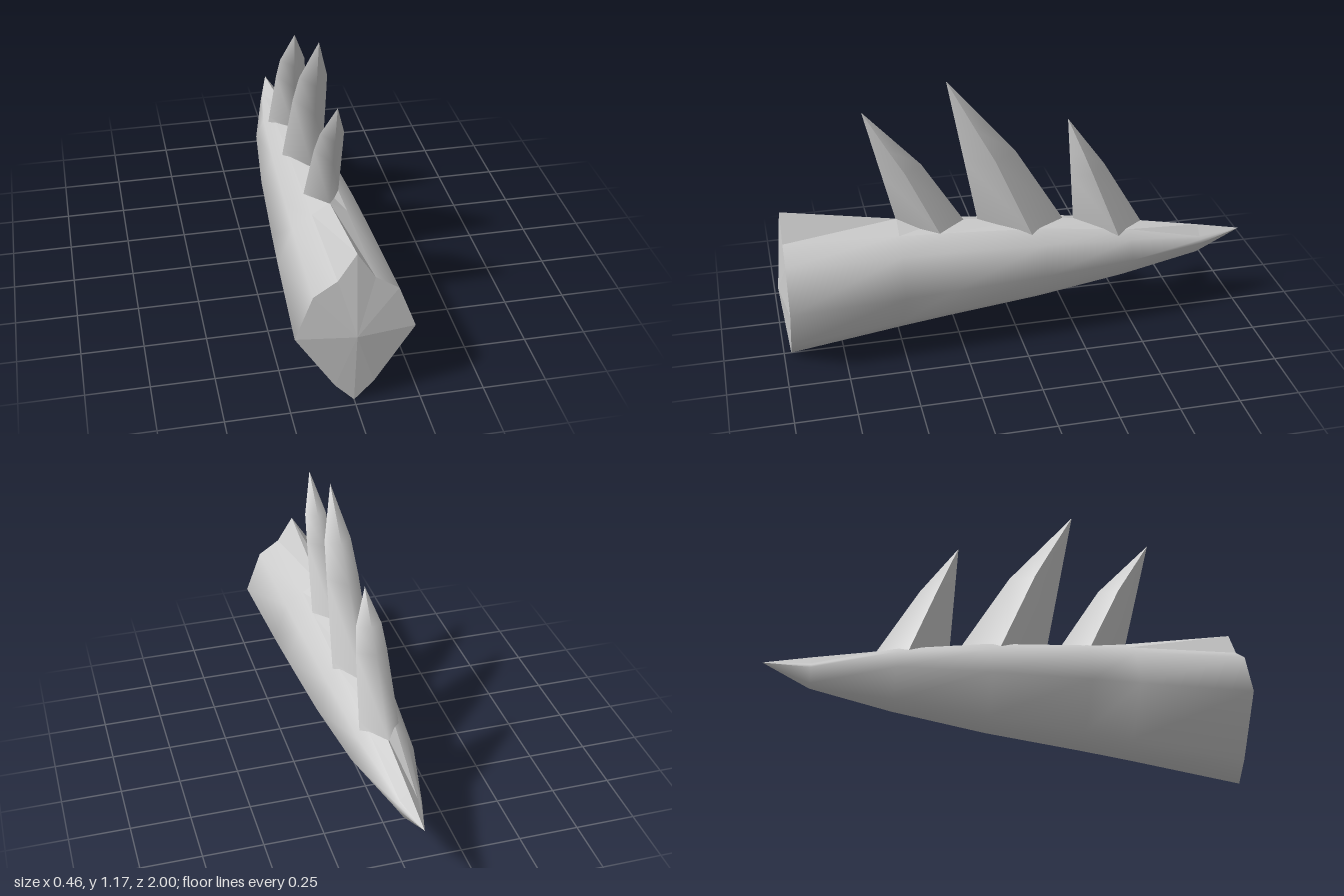
import * as THREE from 'three';

const material = new THREE.MeshStandardMaterial({ color: 0xcccccc, side: THREE.DoubleSide });
const flatMaterial = new THREE.MeshStandardMaterial({ color: 0xcccccc, side: THREE.DoubleSide, flatShading: true });

// Smooth sheet stretched over rows of points; each row has the same count
function sheet(name, rows, mat = material) {
  const n = rows[0].length;
  const index = [];
  for (let i = 0; i < rows.length - 1; i++) {
    for (let j = 0; j < n - 1; j++) {
      const a = i * n + j, b = a + 1, c = a + n, d = c + 1;
      index.push(a, b, c, b, d, c);
    }
  }
  const geometry = new THREE.BufferGeometry();
  geometry.setAttribute('position', new THREE.Float32BufferAttribute(rows.flat(2), 3));
  geometry.setIndex(index);
  geometry.computeVertexNormals();
  const mesh = new THREE.Mesh(geometry, mat);
  mesh.name = name;
  return mesh;
}

// Body stations: z, ridge y, then x,y of shoulder, hip, widest and low points, keel y
const stations = [
  [0.97, 0.67, 0.07, 0.56, 0.16, 0.50, 0.228, 0.32, 0.075, 0.08, 0.0],
  [0.5, 0.585, 0.07, 0.54, 0.147, 0.483, 0.206, 0.322, 0.068, 0.13, 0.065],
  [0.3, 0.555, 0.07, 0.53, 0.14, 0.475, 0.195, 0.325, 0.065, 0.15, 0.09],
  [-0.1, 0.52, 0.065, 0.50, 0.12, 0.45, 0.17, 0.33, 0.06, 0.185, 0.135],
  [-0.48, 0.465, 0.055, 0.445, 0.095, 0.415, 0.13, 0.335, 0.05, 0.23, 0.195],
  [-0.81, 0.40, 0.035, 0.36, 0.046, 0.348, 0.054, 0.335, 0.02, 0.28, 0.265],
  [-1, 0.36, 0, 0.36, 0, 0.36, 0, 0.36, 0, 0.36, 0.36],
];

function makeBody() {
  const group = new THREE.Group();
  group.name = 'body';
  const hull = [], ridge = [];
  for (const s of stations) {
    const z = s[0];
    const left = [2, 4, 6, 8].map((k) => [s[k], s[k + 1], z]);
    const right = left.map(([x, y]) => [-x, y, z]).reverse();
    hull.push([...left, [0, s[10], z], ...right]);
    ridge.push([right[3], [0, s[1], z], left[0]]);
  }
  group.add(sheet('hull', hull), sheet('ridge', ridge, flatMaterial));

  // Shallow faceted cone closing the thick end
  const rim = [ridge[0][1], ...hull[0], ridge[0][1]];
  const apex = rim.map(() => [0, 0.32, 1]);
  group.add(sheet('endCap', [apex, rim], flatMaterial));
  return group;
}

// Curved spine: points are [z, y]; side edges divide a front and a back sheet
function makeSpine(name, tip, front, back, bulge, width) {
  const group = new THREE.Group();
  group.name = name;
  const lerp = (a, b, t) => a.map((v, i) => v + (b[i] - v) * t);
  const point = (x, [z, y]) => [x, y, z];
  const frontRows = [], backRows = [];
  // fraction of height and fraction of base width
  for (const [t, w] of [[-0.1, 1.03], [0, 1], [0.45, 0.8], [0.67, 0.66], [1, 0]]) {
    const f = lerp(front, tip, t);
    const b = t < 0.45 ? lerp(back, bulge, t / 0.45) : lerp(bulge, tip, (t - 0.45) / 0.55);
    const s = lerp(f, b, 0.55);
    const left = point(width * w, s), right = point(-width * w, s);
    frontRows.push([right, point(0, f), left]);
    backRows.push([left, point(0, b), right]);
  }
  group.add(sheet('spineFront', frontRows), sheet('spineBack', backRows));
  return group;
}

export function createModel() {
  const model = new THREE.Group();
  model.name = 'spinedTail';
  model.add(
    makeBody(),
    makeSpine('frontSpine', [0.62, 1.07], [0.5, 0.57], [0.21, 0.53], [0.39, 0.82], 0.07),
    makeSpine('middleSpine', [0.28, 1.17], [0.16, 0.53], [-0.2, 0.51], [0.0, 0.84], 0.085),
    makeSpine('rearSpine', [-0.22, 0.96], [-0.25, 0.49], [-0.55, 0.45], [-0.38, 0.74], 0.08),
  );
  return model;
}
